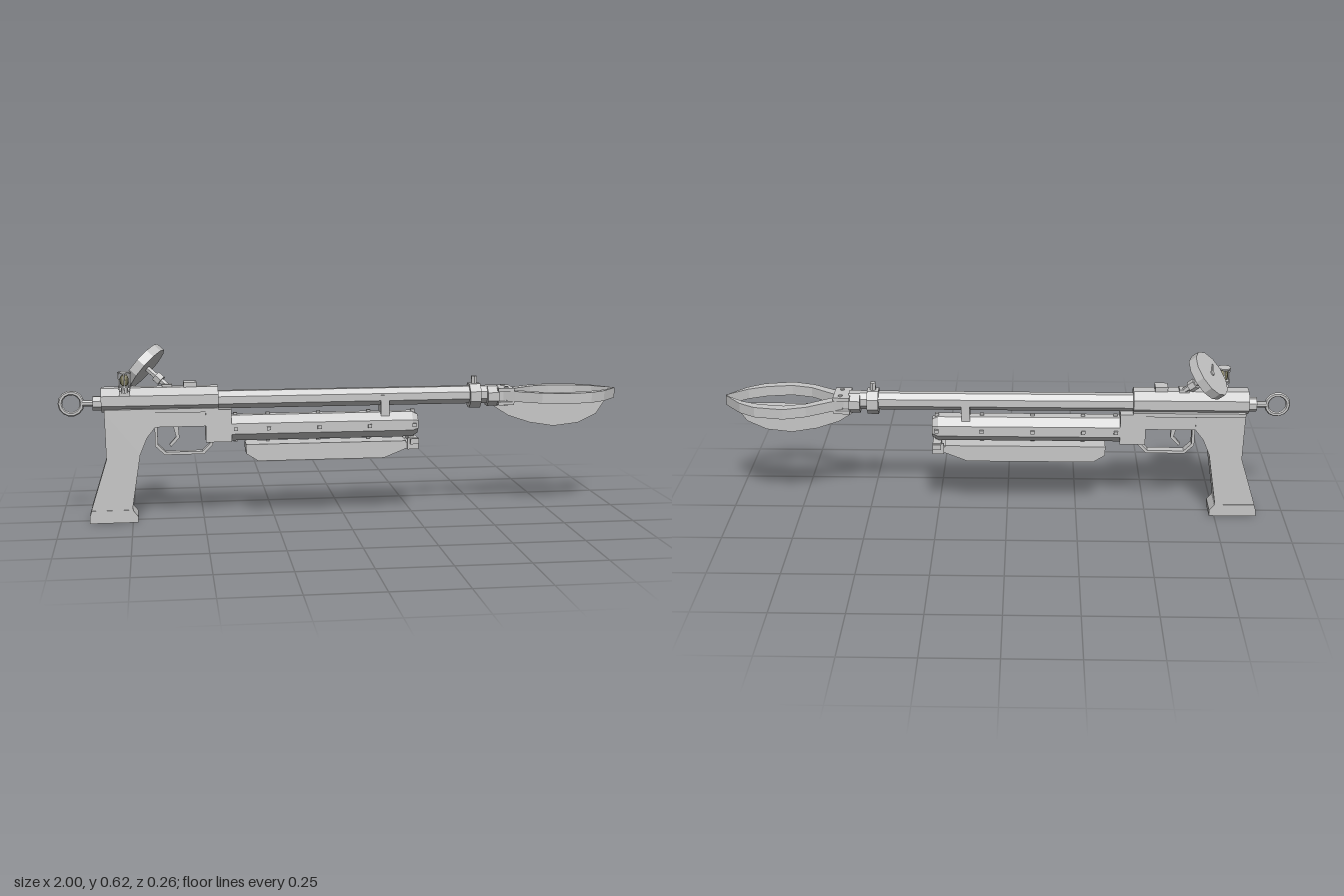
import * as THREE from 'three';

export function createModel() {
  const model = new THREE.Group();
  const grey = new THREE.MeshStandardMaterial({ color: 0xc6c6c6, flatShading: true });
  grey.name = 'light grey metal';
  const olive = new THREE.MeshStandardMaterial({ color: 0x8b8768, flatShading: true });
  olive.name = 'olive glass';

  function add(name, geo, x = 0, y = 0, z = 0, mat = grey, parent = model) {
    const m = new THREE.Mesh(geo, mat);
    m.name = name;
    m.position.set(x, y, z);
    parent.add(m);
    return m;
  }
  // Box given by its limits
  const box = (name, x0, x1, y0, y1, z0, z1) =>
    add(name, new THREE.BoxGeometry(x1 - x0, y1 - y0, z1 - z0), (x0 + x1) / 2, (y0 + y1) / 2, (z0 + z1) / 2);
  // Octagonal bar along x with flats facing up, from half height and half width
  function bar(name, x0, x1, y, h, w = h, tip = 1) {
    const r = 1 / Math.cos(Math.PI / 8);
    const g = new THREE.CylinderGeometry(r * tip, r, x1 - x0, 8);
    g.rotateY(Math.PI / 8).rotateZ(-Math.PI / 2).scale(1, h, w);
    return add(name, g, (x0 + x1) / 2, y, 0);
  }
  // Side profile in xy, extruded symmetrically across z
  function slab(points, width) {
    const shape = new THREE.Shape(points.map(p => new THREE.Vector2(...p)));
    return new THREE.ExtrudeGeometry(shape, { depth: width, bevelEnabled: false }).translate(0, 0, -width / 2);
  }

  // Pistol grip and its foot
  add('grip', slab([[-0.84, 0.39], [-0.837, 0.225], [-0.893, 0.048], [-0.895, 0.02],
    [-0.745, 0.02], [-0.75, 0.053], [-0.72, 0.24], [-0.695, 0.3], [-0.666, 0.337], [-0.666, 0.39]], 0.09));
  add('gripFoot', slab([[-0.9, 0], [-0.9, 0.022], [-0.893, 0.045], [-0.75, 0.045], [-0.732, 0.022], [-0.732, 0]], 0.095));

  // Receiver
  bar('receiver', -0.85, -0.445, 0.432, 0.042, 0.05);
  box('receiverFrame', -0.84, -0.42, 0.337, 0.395, -0.043, 0.043);
  box('receiverRail', -0.84, -0.445, 0.388, 0.402, -0.05, 0.05);
  box('frontBlock', -0.49, -0.4, 0.28, 0.395, -0.047, 0.047);
  box('topLug', -0.565, -0.52, 0.465, 0.49, -0.022, 0.022);

  // Trigger guard, swept as a flat strip
  add('triggerGuard', slab([[-0.668, 0.34], [-0.668, 0.265], [-0.635, 0.233], [-0.497, 0.233], [-0.466, 0.265],
    [-0.466, 0.285], [-0.476, 0.285], [-0.476, 0.27], [-0.502, 0.243], [-0.631, 0.243], [-0.658, 0.27], [-0.658, 0.34]], 0.03));
  add('trigger', slab([[-0.605, 0.34], [-0.594, 0.295], [-0.618, 0.268], [-0.612, 0.26],
    [-0.582, 0.292], [-0.586, 0.34]], 0.016));

  // Rear pull rod and ring
  bar('rodCollar', -0.88, -0.85, 0.42, 0.024);
  bar('pullRod', -0.915, -0.87, 0.42, 0.011);
  add('pullRing', new THREE.TorusGeometry(0.038, 0.008, 6, 14), -0.954, 0.42, 0);

  // Barrel and muzzle collars
  bar('barrel', -0.45, 0.53, 0.425, 0.031, 0.028);
  bar('muzzleCollar', 0.455, 0.495, 0.422, 0.043, 0.043);
  add('collarScrew', new THREE.CylinderGeometry(0.011, 0.011, 0.03, 6), 0.475, 0.477, 0);
  bar('jawCollar', 0.52, 0.56, 0.42, 0.036, 0.042);
  for (const [y0, y1] of [[0.39, 0.402], [0.439, 0.451]]) {
    box('jawPlate', 0.555, 0.613, y0, y1, -0.05, 0.05);
    for (const z of [-0.03, 0.03])
      add('jawPin', new THREE.CylinderGeometry(0.008, 0.008, 0.02, 6), 0.588, (y0 + y1) / 2, z);
  }
  box('jawCore', 0.55, 0.6, 0.4, 0.44, -0.03, 0.03);

  // Two curved side jaws
  const jaw = [[0.575, 0.028], [0.612, 0.053], [0.7, 0.107], [0.778, 0.13], [0.88, 0.112], [0.938, 0.075], [1, 0.002],
    [0.93, 0.056], [0.868, 0.082], [0.778, 0.095], [0.705, 0.076], [0.62, 0.018], [0.575, 0.012]];
  for (const s of [-1, 1])
    add(s > 0 ? 'leftJaw' : 'rightJaw', slab(jaw.map(([x, z]) => [x, z * s]), 0.037).rotateX(Math.PI / 2), 0, 0.421, 0);
  // Lower jaw
  add('lowerJaw', slab([[0.527, 0.395], [0.6, 0.347], [0.68, 0.32], [0.77, 0.305], [0.86, 0.315],
    [0.928, 0.347], [0.96, 0.395], [0.955, 0.405], [0.56, 0.405]], 0.03));

  // Air cylinder under the barrel with rounded end and studs
  bar('airCylinder', -0.41, 0.245, 0.325, 0.045);
  bar('airCylinderCap', 0.245, 0.267, 0.325, 0.045, 0.045, 0.75);
  for (const x of [-0.385, -0.27, -0.09, 0.09, 0.25])
    for (let i = 0; i < 4; i++) {
      const a = i * Math.PI / 2;
      add('cylinderStud', new THREE.BoxGeometry(0.014, 0.012, 0.012), x, 0.325 + 0.046 * Math.cos(a), 0.046 * Math.sin(a));
    }
  box('barrelStrut', 0.132, 0.162, 0.355, 0.432, -0.031, 0.031);

  // Fore-end and its cross bar
  add('foreEnd', slab([[-0.35, 0.268], [-0.35, 0.235], [-0.308, 0.208], [0.142, 0.208],
    [0.222, 0.24], [0.222, 0.268]], 0.084));
  box('foreEndTongue', 0.2, 0.262, 0.24, 0.262, -0.042, 0.042);
  box('crossBar', 0.235, 0.265, 0.257, 0.277, -0.056, 0.056);
  for (const s of [-1, 1]) box('crossBarEar', 0.225, 0.265, 0.238, 0.279, s * 0.047 - 0.003, s * 0.047 + 0.003);

  // Tilted pressure gauge; its own +y is the dial direction
  const gauge = new THREE.Group();
  gauge.name = 'pressureGauge';
  gauge.position.set(-0.7, 0.543, -0.041);
  gauge.quaternion.setFromUnitVectors(new THREE.Vector3(0, 1, 0), new THREE.Vector3(-0.73, 0.64, -0.25).normalize());
  model.add(gauge);
  add('gaugeBody', new THREE.CylinderGeometry(0.088, 0.088, 0.032, 12), 0, 0, 0, grey, gauge);
  add('gaugeStem', new THREE.CylinderGeometry(0.011, 0.011, 0.11, 6), 0, -0.065, 0, grey, gauge);
  add('gaugeNut', new THREE.CylinderGeometry(0.02, 0.02, 0.026, 6), 0, -0.068, 0, grey, gauge);
  add('gaugeHub', new THREE.CylinderGeometry(0.009, 0.009, 0.006, 8), 0, 0.018, 0, grey, gauge);
  add('gaugeNeedle', new THREE.BoxGeometry(0.006, 0.004, 0.05), 0, 0.018, 0.025, grey, gauge);
  box('gaugeSocket', -0.64, -0.605, 0.465, 0.482, -0.025, 0.012);

  // Caged vial on a side bracket
  const vx = -0.768, vz = 0.06;
  box('vialBracket', vx - 0.018, vx + 0.018, 0.45, 0.468, 0.015, 0.065);
  add('vialStem', new THREE.CylinderGeometry(0.012, 0.012, 0.025, 8), vx, 0.475, vz);
  add('cageFloor', new THREE.CylinderGeometry(0.02, 0.02, 0.006, 8), vx, 0.485, vz);
  add('cageRoof', new THREE.CylinderGeometry(0.024, 0.024, 0.005, 8), vx, 0.533, vz);
  add('vial', new THREE.CapsuleGeometry(0.015, 0.012, 3, 8), vx, 0.506, vz, olive);
  for (let i = 0; i < 4; i++) {
    const a = i * Math.PI / 2;
    add('cagePost', new THREE.BoxGeometry(0.005, 0.06, 0.005), vx + 0.019 * Math.cos(a), 0.504, vz + 0.019 * Math.sin(a));
  }
  return model;
}
